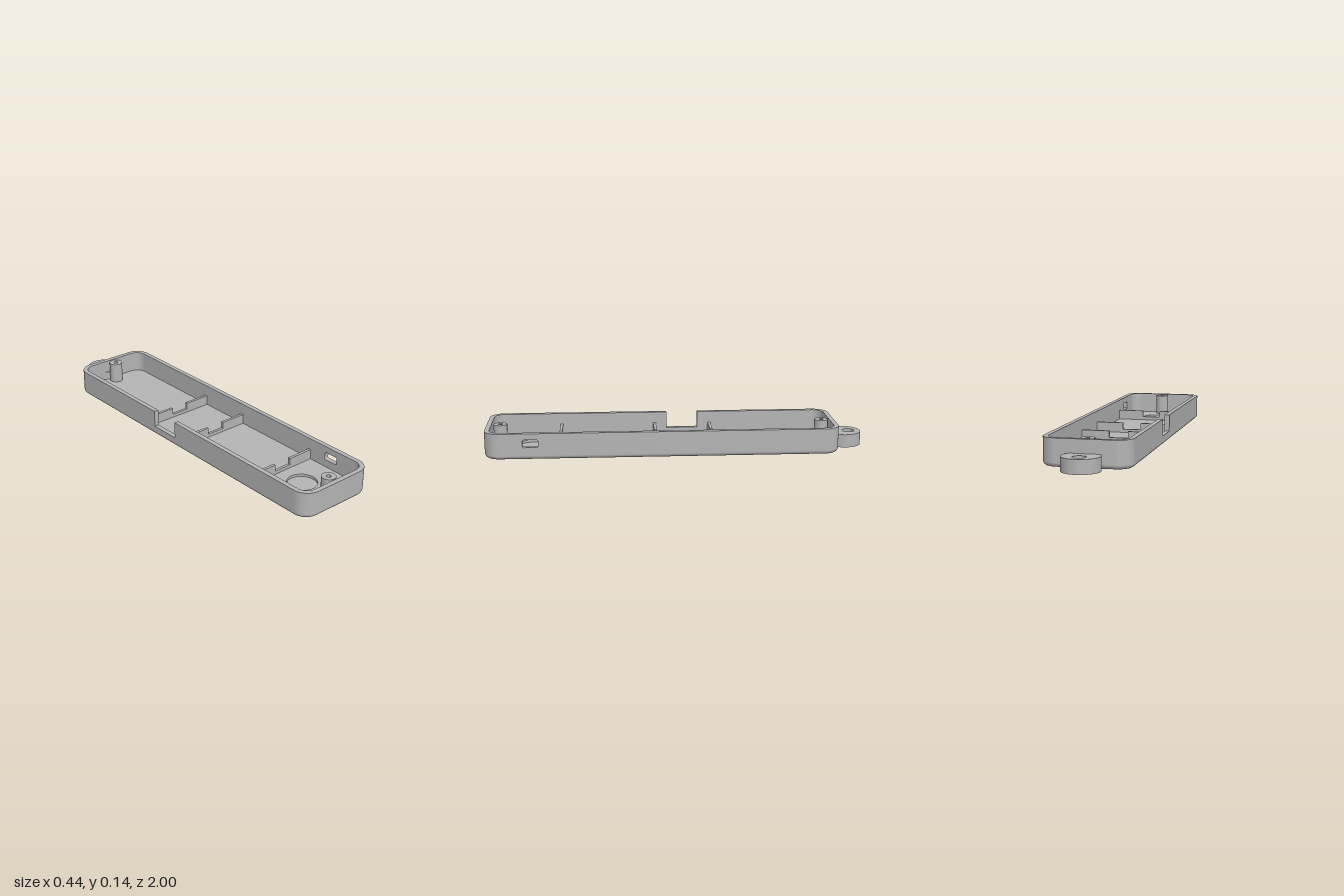
import * as THREE from 'three';
import { toCreasedNormals } from 'three/addons/utils/BufferGeometryUtils.js';

const HEIGHT = 0.138, WALL = 0.025, FLOOR = 0.025, FILLET = 0.022, R = 0.08;
const CX = 0.14, BACK = -0.77, FRONT = 0.92; // corner arc centres
const POSTS = [-0.785, 0.93];

const plastic = new THREE.MeshStandardMaterial({ color: 0xb4b4b4 });
plastic.name = 'grey plastic';

function add(group, name, geometry, x = 0, y = 0, z = 0) {
  const mesh = new THREE.Mesh(geometry, plastic);
  mesh.name = name;
  mesh.position.set(x, y, z);
  group.add(mesh);
  return mesh;
}

function extrude(shape, depth) {
  return toCreasedNormals(
    new THREE.ExtrudeGeometry(shape, { depth, bevelEnabled: false, curveSegments: 20 }), 0.6);
}

// plan shapes use y = -z and rise along +y
const extrudeUp = (shape, depth) => extrude(shape, depth).rotateX(-Math.PI / 2);
// side shapes use x = z and thicken toward -x
const extrudeSide = (shape, depth) => extrude(shape, depth).rotateY(-Math.PI / 2);

function circle(x, y, r, Type = THREE.Path) {
  return new Type().absarc(x, y, r, 0, Math.PI * 2, false);
}

// rounded floor plan with the screw holes
function plan(r) {
  const s = new THREE.Shape(), q = Math.PI / 2;
  s.absarc(CX, -BACK, r, 0, q, false);
  s.absarc(-CX, -BACK, r, q, 2 * q, false);
  s.absarc(-CX, -FRONT, r, 2 * q, 3 * q, false);
  s.absarc(CX, -FRONT, r, 3 * q, 4 * q, false);
  s.closePath();
  for (const z of POSTS) s.holes.push(circle(0, -z, 0.012));
  return s;
}

// rounded lower edge, lofted around the outline
function filletGeometry() {
  const pos = [], nor = [], idx = [], rows = 8, seg = 12;
  const centres = [[CX, FRONT], [-CX, FRONT], [-CX, BACK], [CX, BACK]];
  const n = 4 * (seg + 1);
  for (let i = 0; i <= rows; i++) {
    const p = (i / rows) * Math.PI / 2;
    const r = R - FILLET + FILLET * Math.sin(p);
    const y = FILLET * (1 - Math.cos(p));
    centres.forEach(([cx, cz], c) => {
      for (let k = 0; k <= seg; k++) {
        const a = (c + k / seg) * Math.PI / 2;
        pos.push(cx + r * Math.cos(a), y, cz + r * Math.sin(a));
        nor.push(Math.cos(a) * Math.sin(p), -Math.cos(p), Math.sin(a) * Math.sin(p));
      }
    });
  }
  for (let i = 0; i < rows; i++) {
    for (let j = 0; j < n; j++) {
      const a = i * n + j, b = i * n + (j + 1) % n;
      idx.push(a, a + n, b, b, a + n, b + n);
    }
  }
  const g = new THREE.BufferGeometry();
  g.setAttribute('position', new THREE.Float32BufferAttribute(pos, 3));
  g.setAttribute('normal', new THREE.Float32BufferAttribute(nor, 3));
  g.setIndex(idx);
  return g;
}

function polygon(points) {
  return new THREE.Shape(points.map(([x, y]) => new THREE.Vector2(x, y)));
}

export function createModel() {
  const model = new THREE.Group();
  model.name = 'enclosureTray';

  // floor in two layers, the upper one open over the round recess
  const recessFloor = 0.012;
  add(model, 'bottomPlate', extrudeUp(plan(R - FILLET), recessFloor));
  const upper = plan(R - FILLET);
  upper.holes.push(circle(0, -0.76, 0.076));
  add(model, 'floorPlate', extrudeUp(upper, FLOOR - recessFloor), 0, recessFloor);
  add(model, 'bottomFillet', filletGeometry());

  // rounded end walls
  const end = new THREE.Shape(), q = Math.PI / 2, ri = R - WALL;
  end.absarc(CX, 0, R, 0, q, false);
  end.absarc(-CX, 0, R, q, 2 * q, false);
  end.absarc(-CX, 0, ri, 2 * q, q, true);
  end.absarc(CX, 0, ri, q, 0, true);
  end.closePath();
  const endGeometry = extrudeUp(end, HEIGHT - FILLET);
  add(model, 'backWall', endGeometry, 0, FILLET, BACK);
  add(model, 'frontWall', endGeometry, 0, FILLET, FRONT).rotation.y = Math.PI;

  // left wall with a small port window
  const left = polygon([[BACK, FILLET], [FRONT, FILLET], [FRONT, HEIGHT], [BACK, HEIGHT]]);
  const port = new THREE.Path(), pr = 0.008;
  port.absarc(0.792, 0.097, pr, 0, q, false);
  port.absarc(0.728, 0.097, pr, q, 2 * q, false);
  port.absarc(0.728, 0.073, pr, 2 * q, 3 * q, false);
  port.absarc(0.792, 0.073, pr, 3 * q, 4 * q, false);
  port.closePath();
  left.holes.push(port);
  add(model, 'leftWall', extrudeSide(left, WALL), CX + R);

  // right wall with a deep notch in its rim
  const right = polygon([
    [BACK, FILLET], [FRONT, FILLET], [FRONT, HEIGHT], [0.04, HEIGHT],
    [0.04, 0.05], [-0.13, 0.05], [-0.13, HEIGHT], [BACK, HEIGHT],
  ]);
  add(model, 'rightWall', extrudeSide(right, WALL), -CX - R + WALL);

  // notched cross ribs
  const w = 0.197, top = 0.078, dip = 0.043;
  const rib = extrude(polygon([
    [-w, 0.02], [w, 0.02], [w, top], [0.05, top],
    [0.05, dip], [-0.05, dip], [-0.05, top], [-w, top],
  ]), 0.015);
  for (const z of [-0.203, 0.098, 0.607]) add(model, 'crossRib', rib, 0, 0, z);

  // hollow screw posts
  const post = circle(0, 0, 0.036, THREE.Shape);
  post.holes.push(circle(0, 0, 0.012));
  const postGeometry = extrudeUp(post, 0.135);
  for (const z of POSTS) add(model, 'screwPost', postGeometry, 0, 0, z);

  // hanging tab with an eyelet
  const tab = circle(0, 0.906, 0.094, THREE.Shape);
  tab.holes.push(circle(0, 0.935, 0.033));
  add(model, 'hangingTab', extrudeUp(tab, 0.07));

  return model;
}
